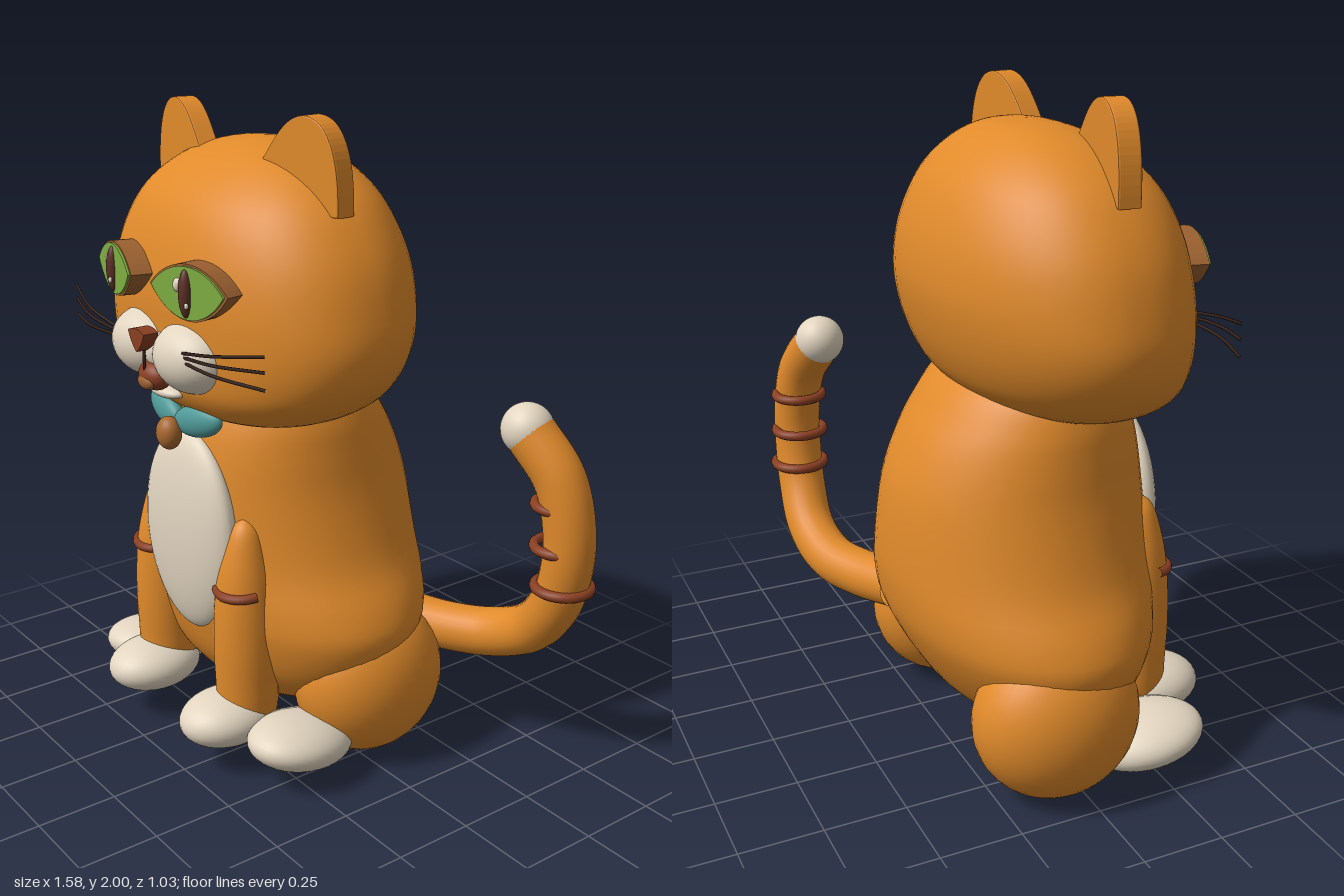
import * as THREE from 'three';
import { mergeVertices } from 'three/addons/utils/BufferGeometryUtils.js';

const material = (name, color) => {
  const m = new THREE.MeshStandardMaterial({ color });
  m.name = name;
  return m;
};

export function createModel() {
  const fur = material('orange fur', 0xe08a2b);
  const cream = material('cream', 0xe2d5c0);
  const stripe = material('stripe brown', 0x8a3f22);
  const iris = material('iris green', 0x7fae42);
  const pupilMat = material('pupil brown', 0x5c3026);
  const lid = material('eyelid brown', 0x9c6130);
  const teal = material('collar teal', 0x4f9a98);
  const bronze = material('bell bronze', 0xa9682f);
  const dark = material('whisker dark', 0x33211a);

  const root = new THREE.Group();
  root.name = 'sittingCat';
  const cat = new THREE.Group(); // symmetric part, tail excluded
  cat.name = 'catBody';
  cat.position.x = -0.19;
  root.add(cat);

  const add = (name, geo, mat, pos = [0, 0, 0], rot = [0, 0, 0], parent = cat) => {
    const m = new THREE.Mesh(geo, mat);
    m.name = name;
    m.position.set(...pos);
    m.rotation.set(...rot);
    parent.add(m);
    return m;
  };
  const blob = (rx, ry, rz) => new THREE.SphereGeometry(1, 36, 24).scale(rx, ry, rz);
  const vec = (p) => new THREE.Vector3(...p);
  const tube = (pts, r, seg = 24, sides = 8) =>
    new THREE.TubeGeometry(new THREE.CatmullRomCurve3(pts.map(vec)), seg, r, sides);

  // Smooth closed form from rings [y, half width, front z, back z], bottom to top
  const loft = (rings, power) => {
    const curve = (k) => new THREE.CatmullRomCurve3(
      rings.map((r) => new THREE.Vector3(r[0], r[1], r[k])), false, 'catmullrom', 0.5);
    const front = curve(2), back = curve(3);
    const geo = new THREE.PlaneGeometry(1, 1, 56, 48);
    const p = geo.attributes.position;
    for (let i = 0; i < p.count; i++) {
      const a = p.getX(i) * Math.PI * 2, t = p.getY(i) + 0.5;
      const f = front.getPoint(t), b = back.getPoint(t);
      const s = Math.sin(a), c = Math.cos(a), e = 2 / (c > 0 ? power : 2);
      const mid = (f.z + b.z) / 2, half = (f.z - b.z) / 2;
      p.setXYZ(i, f.y * Math.sign(s) * Math.abs(s) ** e, f.x,
        mid + half * Math.sign(c) * Math.abs(c) ** e);
    }
    geo.deleteAttribute('uv');
    geo.deleteAttribute('normal');
    const out = mergeVertices(geo, 1e-5);
    out.computeVertexNormals();
    return out;
  };

  // Torso and head
  add('torso', loft([
    [0.12, 0, 0, 0], [0.135, 0.2, 0.14, -0.13], [0.2, 0.38, 0.24, -0.24],
    [0.3, 0.5, 0.31, -0.32], [0.43, 0.56, 0.35, -0.39], [0.53, 0.535, 0.365, -0.42],
    [0.66, 0.46, 0.37, -0.43], [0.86, 0.4, 0.36, -0.41], [1.0, 0.375, 0.34, -0.36],
    [1.1, 0.355, 0.31, -0.3], [1.19, 0.31, 0.26, -0.23], [1.25, 0.2, 0.18, -0.13], [1.27, 0, 0, 0],
  ], 2.1), fur);
  add('head', loft([
    [1.085, 0, 0.1, 0.1], [1.093, 0.22, 0.26, -0.03], [1.125, 0.38, 0.35, -0.13],
    [1.19, 0.5, 0.4, -0.225], [1.27, 0.565, 0.415, -0.275], [1.37, 0.592, 0.42, -0.308],
    [1.48, 0.577, 0.42, -0.325], [1.6, 0.54, 0.4, -0.312], [1.71, 0.475, 0.36, -0.275],
    [1.79, 0.4, 0.3, -0.225], [1.86, 0.285, 0.21, -0.15], [1.9, 0.15, 0.11, -0.07],
    [1.912, 0, 0.02, 0.02],
  ], 2.3), fur);
  add('bellyPatch', blob(0.235, 0.33, 0.08), cream, [0, 0.72, 0.33]);

  // Almond outline for the eyes, scaled about its centre
  const almond = (k) => {
    const s = new THREE.Shape();
    s.moveTo(-0.155 * k, 0.01 * k);
    s.bezierCurveTo(-0.07 * k, 0.108 * k, 0.07 * k, 0.108 * k, 0.155 * k, 0.01 * k);
    s.bezierCurveTo(0.07 * k, -0.11 * k, -0.07 * k, -0.11 * k, -0.155 * k, 0.01 * k);
    return s;
  };
  const extrude = (shape, depth) => new THREE.ExtrudeGeometry(shape,
    { depth, bevelEnabled: false, curveSegments: 20 }).translate(0, 0, -depth / 2);

  const legGeo = new THREE.LatheGeometry(new THREE.SplineCurve([
    [0, 0.12], [0.085, 0.15], [0.1, 0.3], [0.102, 0.45], [0.092, 0.6], [0.07, 0.71],
    [0.042, 0.79], [0, 0.825],
  ].map((p) => new THREE.Vector2(...p))).getPoints(28).map((p) => p.setX(Math.max(0, p.x))), 28);

  for (const s of [-1, 1]) {
    const side = s > 0 ? 'left' : 'right';

    // Ear, drawn for the left and mirrored
    const ear = new THREE.Shape();
    ear.moveTo(s * 0.46, 1.74);
    ear.bezierCurveTo(s * 0.465, 1.9, s * 0.42, 2.0, s * 0.33, 2.0);
    ear.bezierCurveTo(s * 0.26, 1.995, s * 0.22, 1.94, s * 0.165, 1.87);
    ear.lineTo(s * 0.19, 1.74);
    const earGeo = new THREE.ExtrudeGeometry(ear, {
      depth: 0.055, curveSegments: 16, bevelEnabled: true, bevelSize: 0.004,
      bevelThickness: 0.006, bevelSegments: 2,
    }).translate(-s * 0.31, 0, -0.0275);
    add(side + 'Ear', earGeo, fur, [s * 0.31, 0, 0.108], [0, s * 0.13, 0]);

    // Eye
    const eye = new THREE.Group();
    eye.name = side + 'Eye';
    eye.position.set(s * 0.198, 1.525, 0.41);
    eye.rotation.y = s * 0.21;
    cat.add(eye);
    add('eyeRim', extrude(almond(1), 0.07), lid, [0, 0, 0], [0, 0, 0], eye);
    add('iris', extrude(almond(0.93), 0.008), iris, [0, 0, 0.038], [0, 0, 0], eye);
    add('pupil', blob(0.022, 0.07, 0.022), pupilMat, [-0.004, 0, 0.04], [0, 0, 0], eye);
    add('eyeGlint', blob(0.016, 0.02, 0.012), cream, [-0.033, 0.022, 0.043], [0, 0, 0], eye);
    add('smallGlint', blob(0.007, 0.009, 0.006), cream, [0.014, -0.03, 0.057], [0, 0, 0], eye);

    // Muzzle and whiskers
    add(side + 'Cheek', blob(0.145, 0.108, 0.115), cream, [s * 0.12, 1.312, 0.375]);
    [[1.352, 1.41], [1.34, 1.365], [1.326, 1.315]].forEach(([y0, y1], i) => {
      add(side + 'Whisker' + (i + 1), tube([[s * 0.19, y0, 0.46],
        [s * 0.35, y0 * 0.55 + y1 * 0.45, 0.458], [s * 0.53, y1, 0.41]], 0.005, 16, 6), dark);
    });

    // Collar bow lobe
    add(side + 'CollarLobe', blob(0.105, 0.05, 0.035), teal, [s * 0.088, 1.1, 0.35], [0, s * 0.15, s * 0.2]);

    // Front leg with stripe and paw
    add(side + 'FrontLeg', legGeo, fur, [s * 0.235, 0, 0.287]);
    add(side + 'LegStripe', new THREE.TorusGeometry(0.087, 0.015, 10, 28, Math.PI * 0.8)
      .rotateZ(Math.PI * 0.1).rotateX(Math.PI / 2), stripe, [s * 0.24, 0.6, 0.292], [0.12, s * 0.1, 0]);
    add(side + 'FrontPaw', blob(0.128, 0.085, 0.16), cream, [s * 0.222, 0.167, 0.355]);

    // Haunch and hind paw
    add(side + 'Haunch', blob(0.2, 0.25, 0.255), fur, [s * 0.4, 0.258, -0.065]);
    add(side + 'HindPaw', blob(0.145, 0.08, 0.185), cream, [s * 0.42, 0.128, 0.22], [-0.17, s * 0.2, 0]);
  }

  // Nose, mouth and chin
  const nose = new THREE.Shape();
  nose.moveTo(-0.045, 0.025);
  nose.quadraticCurveTo(0, 0.045, 0.045, 0.025);
  nose.quadraticCurveTo(0.03, -0.015, 0, -0.035);
  nose.quadraticCurveTo(-0.03, -0.015, -0.045, 0.025);
  add('nose', extrude(nose, 0.05), stripe, [0, 1.355, 0.475]);
  add('noseLine', new THREE.CylinderGeometry(0.005, 0.005, 0.08, 8), dark, [0, 1.3, 0.475]);
  add('muzzleBridge', blob(0.06, 0.06, 0.06), cream, [0, 1.31, 0.405]);
  add('mouth', blob(0.063, 0.045, 0.045), stripe, [0, 1.24, 0.44]);
  add('tongue', blob(0.04, 0.024, 0.02), lid, [0, 1.225, 0.47]);
  add('chin', blob(0.08, 0.022, 0.04), cream, [0, 1.187, 0.4]);
  add('bell', blob(0.045, 0.052, 0.038), bronze, [0, 1.05, 0.4]);

  // Tail with rings and pale tip
  const tail = new THREE.Group();
  tail.name = 'tail';
  root.add(tail);
  add('tailTube', tube([
    [0.15, 0.38, -0.27], [0.28, 0.37, -0.335], [0.42, 0.385, -0.4], [0.56, 0.45, -0.425],
    [0.66, 0.57, -0.42], [0.702, 0.7, -0.415], [0.705, 0.83, -0.412],
    [0.665, 0.98, -0.4], [0.57, 1.1, -0.37],
  ], 0.078, 60, 24), fur, [0, 0, 0], [0, 0, 0], tail);
  add('tailTip', blob(0.08, 0.08, 0.08), cream, [0.56, 1.11, -0.366], [0, 0, 0], tail);
  [[0.665, 0.895, 0.077], [0.675, 0.765, 0.08], [0.69, 0.64, 0.083]].forEach(([x, y, r], i) =>
    add('tailRing' + (i + 1), new THREE.TorusGeometry(r, 0.016, 10, 36), stripe,
      [x, y, -0.415], [Math.PI / 2, 0, 0], tail));

  return root;
}
